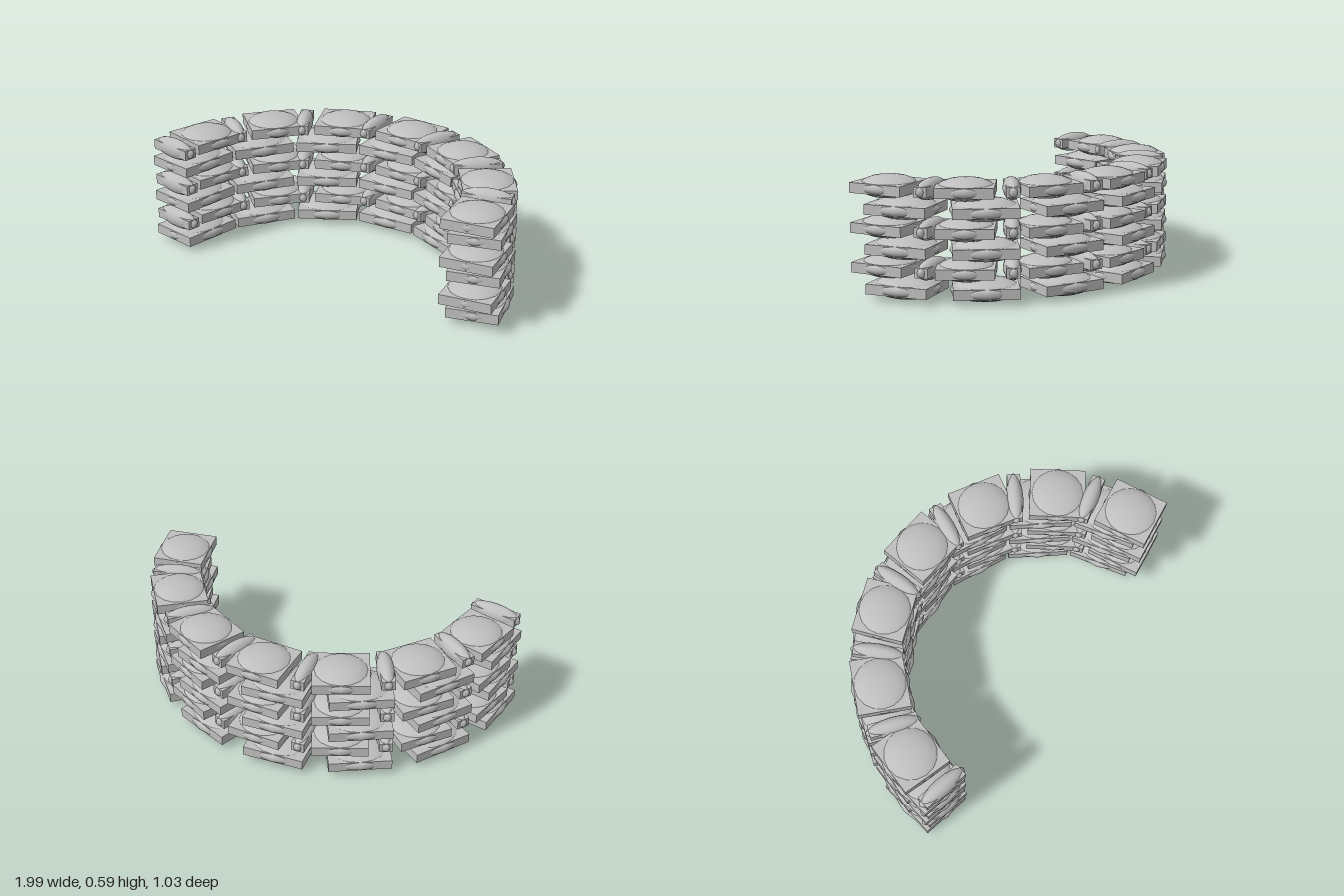
import * as THREE from 'three';

const RADIUS = 0.853;   // radius of the curved wall
const CENTRE_Z = 0.47;  // centre of the curve
const ROW_STEP = 0.0965;
const BAG_STEP = 25.8;  // degrees between neighbouring bags

export function createModel() {
  const wall = new THREE.Group();
  wall.name = 'sandbagWall';
  const canvas = new THREE.MeshStandardMaterial({ color: 0xbfbfbf });
  canvas.name = 'grey canvas';

  const bulgeShape = new THREE.SphereGeometry(1, 16, 10);
  const seamShape = new THREE.BoxGeometry(2, 2, 2);

  function addPart(parent, name, shape, x, y, z) {
    const mesh = new THREE.Mesh(shape, canvas);
    mesh.name = name;
    mesh.scale.set(x, y, z);
    parent.add(mesh);
  }

  // One bag: a flat block with a rounded filling bulging through it.
  // Sizes are half length, half height and half depth.
  function addBag(row, name, degrees, twist, bulge, block) {
    const bag = new THREE.Group();
    bag.name = name;
    addPart(bag, 'filling', bulgeShape, ...bulge);
    addPart(bag, 'block', seamShape, ...block);
    const a = THREE.MathUtils.degToRad(degrees);
    bag.position.set(RADIUS * Math.sin(a), 0, CENTRE_Z - RADIUS * Math.cos(a));
    bag.rotation.y = -THREE.MathUtils.degToRad(degrees + twist);
    row.add(bag);
  }

  for (let r = 0; r < 6; r++) {
    const row = new THREE.Group();
    row.name = `row${r + 1}`;
    row.position.y = 0.056 + r * ROW_STEP;
    for (let i = -3; i <= 3; i++) {
      if (r % 2 === 0) {
        // Rows of long bags laid end to end
        addBag(row, 'longBag', -2.3 + i * BAG_STEP, 0,
          [0.17, 0.056, 0.145], [0.158, 0.025, 0.128]);
      } else {
        // Rows of shorter bags with a narrow bag across each joint
        const angle = 3.7 + i * BAG_STEP;
        addBag(row, 'shortBag', angle, 0,
          [0.147, 0.056, 0.145], [0.14, 0.025, 0.13]);
        addBag(row, 'crossBag', angle - 14.6, 9,
          [0.044, 0.052, 0.14], [0.034, 0.025, 0.122]);
      }
    }
    wall.add(row);
  }
  return wall;
}
